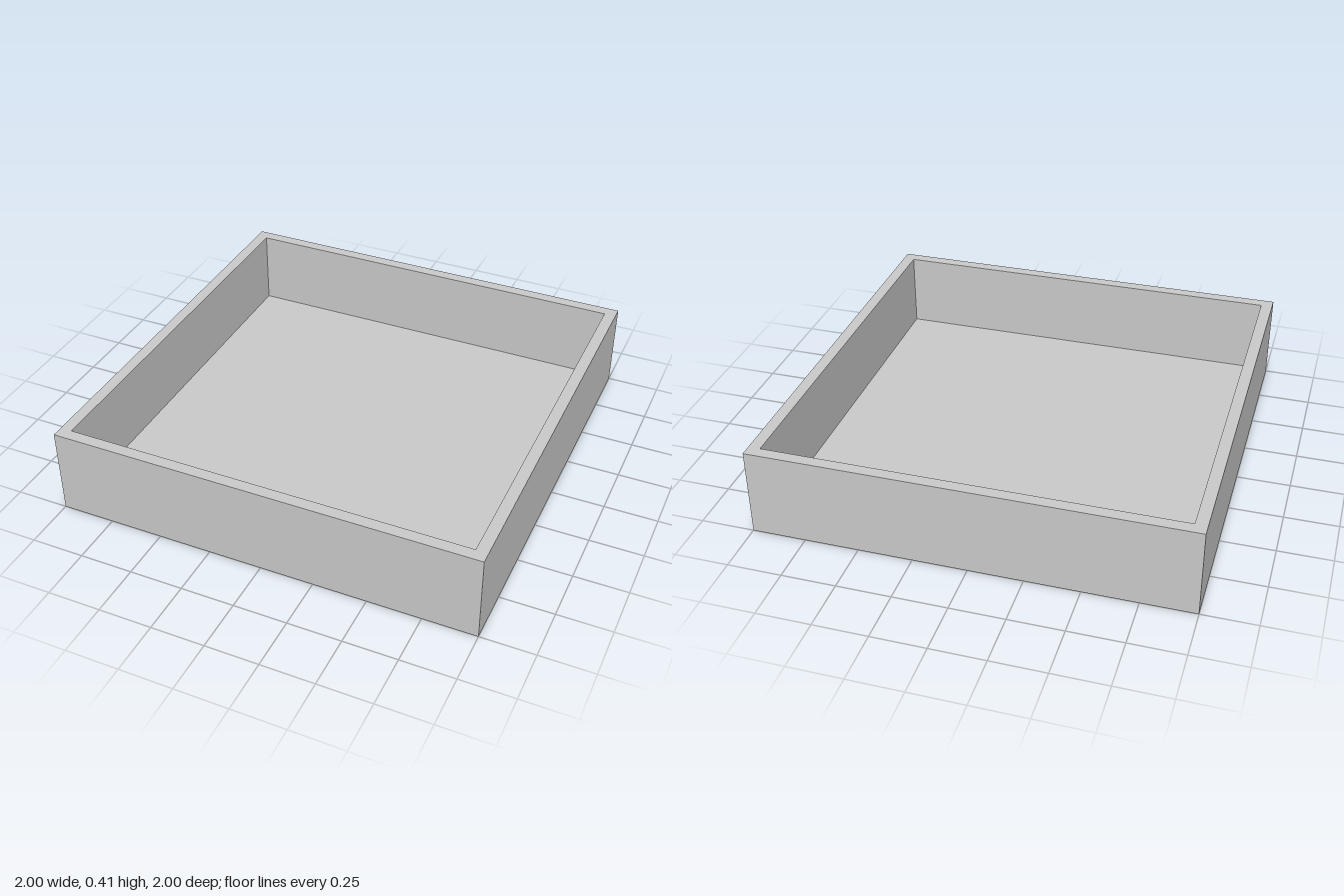
import * as THREE from 'three';

const HEIGHT = 0.414;  // full height of the tray
const OUTER = 1;       // half width outside
const INNER = 0.945;   // half width inside the walls
const FLOOR = 0.045;   // top of the floor slab

export function createModel() {
  const group = new THREE.Group();
  group.name = 'squareTray';

  // Wall and floor section, turned in four steps to make a square tray
  const section = [
    [0, 0], [OUTER, 0], [OUTER, HEIGHT], [INNER, HEIGHT], [INNER, FLOOR], [0, FLOOR],
  ].map(([halfWidth, y]) => new THREE.Vector2(halfWidth * Math.SQRT2, y));

  const tray = new THREE.Mesh(
    new THREE.LatheGeometry(section, 4, Math.PI / 4),
    new THREE.MeshStandardMaterial({ color: 0xcccccc, flatShading: true }),
  );
  tray.name = 'tray';
  group.add(tray);

  return group;
}
